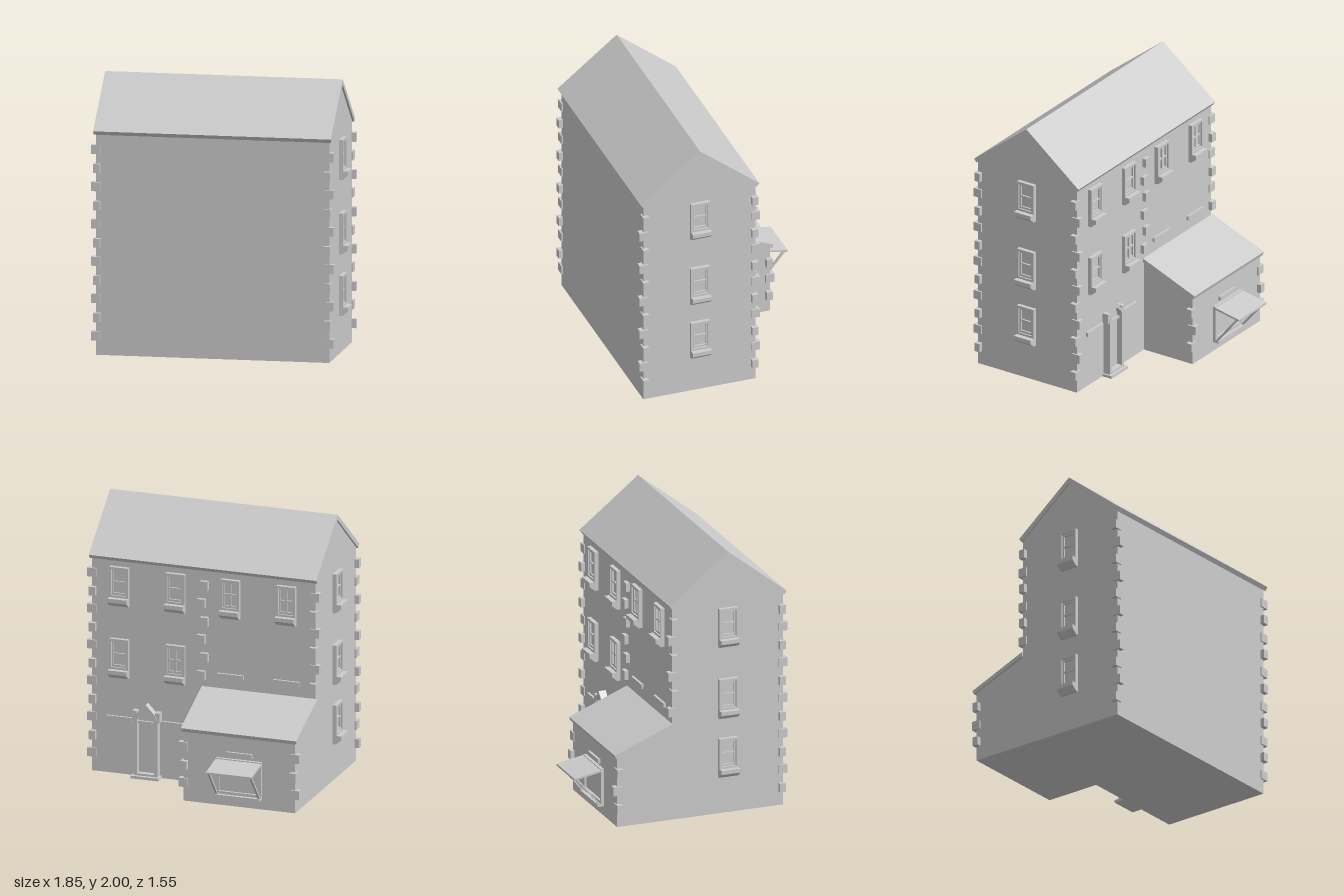
import * as THREE from 'three';

const material = new THREE.MeshStandardMaterial({ color: 0xcccccc, flatShading: true });

function add(parent, name, geometry) {
  const mesh = new THREE.Mesh(geometry, material);
  mesh.name = name;
  parent.add(mesh);
  return mesh;
}

// Box given by its limits on each axis
function box(parent, name, x0, x1, y0, y1, z0, z1) {
  const g = new THREE.BoxGeometry(x1 - x0, y1 - y0, z1 - z0);
  return add(parent, name, g.translate((x0 + x1) / 2, (y0 + y1) / 2, (z0 + z1) / 2));
}

const toShape = (pts) => new THREE.Shape(pts.map(([a, b]) => new THREE.Vector2(a, b)));

// Profile of (z, y) points swept along x
function sweepX(parent, name, pts, x0, x1) {
  const g = new THREE.ExtrudeGeometry(toShape(pts), { depth: x1 - x0, bevelEnabled: false });
  return add(parent, name, g.rotateY(-Math.PI / 2).translate(x1, 0, 0));
}

// Outline of (x, y) points with an optional hole, raised towards +z
function plate(parent, name, pts, hole, depth) {
  const shape = toShape(pts);
  if (hole) shape.holes.push(toShape(hole));
  return add(parent, name, new THREE.ExtrudeGeometry(shape, { depth, bevelEnabled: false }));
}

const rect = (hw, y0, y1) => [[-hw, y0], [hw, y0], [hw, y1], [-hw, y1]];

// Sash window facing +z, its sill top at y = 0
function makeWindow(height, mullion) {
  const g = new THREE.Group();
  g.name = 'window';
  const hw = 0.073, b = 0.016;
  plate(g, 'windowFrame', rect(hw, 0, height), rect(hw - b, b, height - b), 0.03);
  plate(g, 'windowSash', rect(hw - b, b, height - b), rect(hw - 2 * b + 0.004, 2 * b, height - 2 * b), 0.018);
  box(g, 'windowPane', -hw + b, hw - b, b, height - b, -0.005, 0.005);
  box(g, 'windowRail', -hw + b, hw - b, height / 2 - 0.006, height / 2 + 0.006, 0, 0.018);
  if (mullion) box(g, 'windowMullion', -0.006, 0.006, b, height - b, 0, 0.018);
  sweepX(g, 'windowSill', [[0, 0], [0.068, 0], [0.068, -0.03], [0.025, -0.065], [0, -0.065]], -hw, hw);
  return g;
}

export function createModel() {
  const model = new THREE.Group();
  model.name = 'house';
  const W = 0.857, FRONT = 0.74, BACK = -0.12, EXT = -0.545, MID = 0.31;

  // Main block with gables, and its roof slab
  sweepX(model, 'mainWalls', [[FRONT, 0], [FRONT, 1.62], [MID, 1.965], [BACK, 1.62], [BACK, 0]], -W, W);
  sweepX(model, 'mainRoof', [
    [0.765, 1.64], [MID, 2], [-0.145, 1.64], [-0.125, 1.612], [MID, 1.96], [0.745, 1.612],
  ], -0.872, 0.872);

  // Lean-to extension at the back
  sweepX(model, 'extensionWalls', [[BACK + 0.01, 0], [BACK + 0.01, 0.7], [EXT, 0.535], [EXT, 0]], -W, 0);
  sweepX(model, 'extensionRoof', [[BACK, 0.735], [-0.57, 0.555], [-0.56, 0.527], [BACK, 0.703]], -0.872, 0.013);

  // Corner stones alternate between reaching along x and along z
  const quoins = (cx, cz, sx, sz, from, to) => {
    for (let i = from; i <= to; i++) {
      const y = 0.14 + i * 0.1365, even = i % 2 === 0;
      const ox = even ? 0.033 : 0.013, oz = even ? 0.011 : 0.032;
      const xs = [cx + sx * ox, cx - sx * 0.035].sort((a, b) => a - b);
      const zs = [cz + sz * oz, cz - sz * 0.035].sort((a, b) => a - b);
      box(model, 'cornerStone', xs[0], xs[1], y - 0.033, y + 0.033, zs[0], zs[1]);
    }
  };
  quoins(W, FRONT, 1, 1, 0, 10);
  quoins(-W, FRONT, -1, 1, 0, 10);
  quoins(W, BACK, 1, -1, 0, 10);
  quoins(-W, BACK, -1, -1, 5, 10);
  quoins(0, EXT, 1, -1, 0, 2);
  quoins(-W, EXT, -1, -1, 0, 2);

  // Column of stones in the middle of the back wall
  for (let i = 5; i <= 10; i++) {
    const y = 0.14 + i * 0.1365, x = i % 2 ? 0.012 : -0.012;
    box(model, 'middleStone', x - 0.03, x + 0.03, y - 0.033, y + 0.033, BACK - 0.03, BACK + 0.02);
  }

  // Side windows, three floors on each end
  for (const side of [1, -1]) {
    for (const [y, h] of [[1.34, 0.23], [0.795, 0.235], [0.345, 0.23]]) {
      const w = makeWindow(h, false);
      w.position.set(side * W, y, MID);
      w.rotation.y = side * Math.PI / 2;
      model.add(w);
    }
  }

  // Back windows
  for (const [x, y, mullion] of [
    [0.64, 1.34, false], [0.21, 1.34, false], [-0.21, 1.34, true], [-0.64, 1.34, true],
    [0.64, 0.795, false], [0.21, 0.795, true],
  ]) {
    const w = makeWindow(0.23, mullion);
    w.position.set(x, y, BACK);
    w.rotation.y = Math.PI;
    model.add(w);
  }

  // Flat stone bands on the back walls
  for (const [x, y, z] of [[-0.21, 0.835, BACK], [-0.64, 0.835, BACK], [0.64, 0.42, BACK], [0.21, 0.42, BACK], [-0.43, 0.395, EXT]]) {
    box(model, 'stoneBand', x - 0.1, x + 0.1, y - 0.016, y + 0.016, z - 0.018, z + 0.01);
  }

  // Back door with a pointed surround and a step
  const door = new THREE.Group();
  door.name = 'door';
  door.position.set(0.425, 0, BACK);
  door.rotation.y = Math.PI;
  model.add(door);
  const arch = (hw, y0, shoulder, peak) => [[-hw, y0], [hw, y0], [hw, shoulder], [hw * 0.8, shoulder + 0.035], [0, peak], [-hw * 0.8, shoulder + 0.035], [-hw, shoulder]];
  plate(door, 'doorSurround', arch(0.09, 0.02, 0.45, 0.56), arch(0.066, 0.035, 0.44, 0.525), 0.055);
  plate(door, 'doorLeaf', arch(0.066, 0.02, 0.44, 0.525), null, 0.012);
  box(door, 'doorRail', -0.066, 0.066, 0.405, 0.425, 0, 0.03);
  for (const s of [-1, 1]) {
    box(door, 'doorCapital', s * 0.088 - 0.017, s * 0.088 + 0.017, 0.43, 0.505, 0, 0.05);
  }
  box(door, 'doorStep', -0.105, 0.105, 0, 0.02, 0, 0.08);

  // Serving hatch with a propped awning on the extension
  const hatch = new THREE.Group();
  hatch.name = 'hatch';
  hatch.position.set(-0.43, 0, EXT);
  hatch.rotation.y = Math.PI;
  model.add(hatch);
  plate(hatch, 'hatchFrame', rect(0.172, 0.09, 0.36), rect(0.15, 0.112, 0.338), 0.024);
  box(hatch, 'hatchPanel', -0.15, 0.15, 0.112, 0.338, -0.005, 0.005);
  box(hatch, 'hatchSill', -0.172, 0.172, 0.073, 0.092, 0, 0.05);
  sweepX(hatch, 'awning', [[0.015, 0.355], [0.015, 0.34], [0.23, 0.3], [0.23, 0.315]].reverse(), -0.175, 0.175);
  for (const s of [-1, 1]) {
    const x = s * 0.162;
    sweepX(hatch, 'awningProp', [[0.025, 0.092], [0.042, 0.092], [0.215, 0.303], [0.2, 0.308]], x - 0.008, x + 0.008);
  }

  return model;
}
